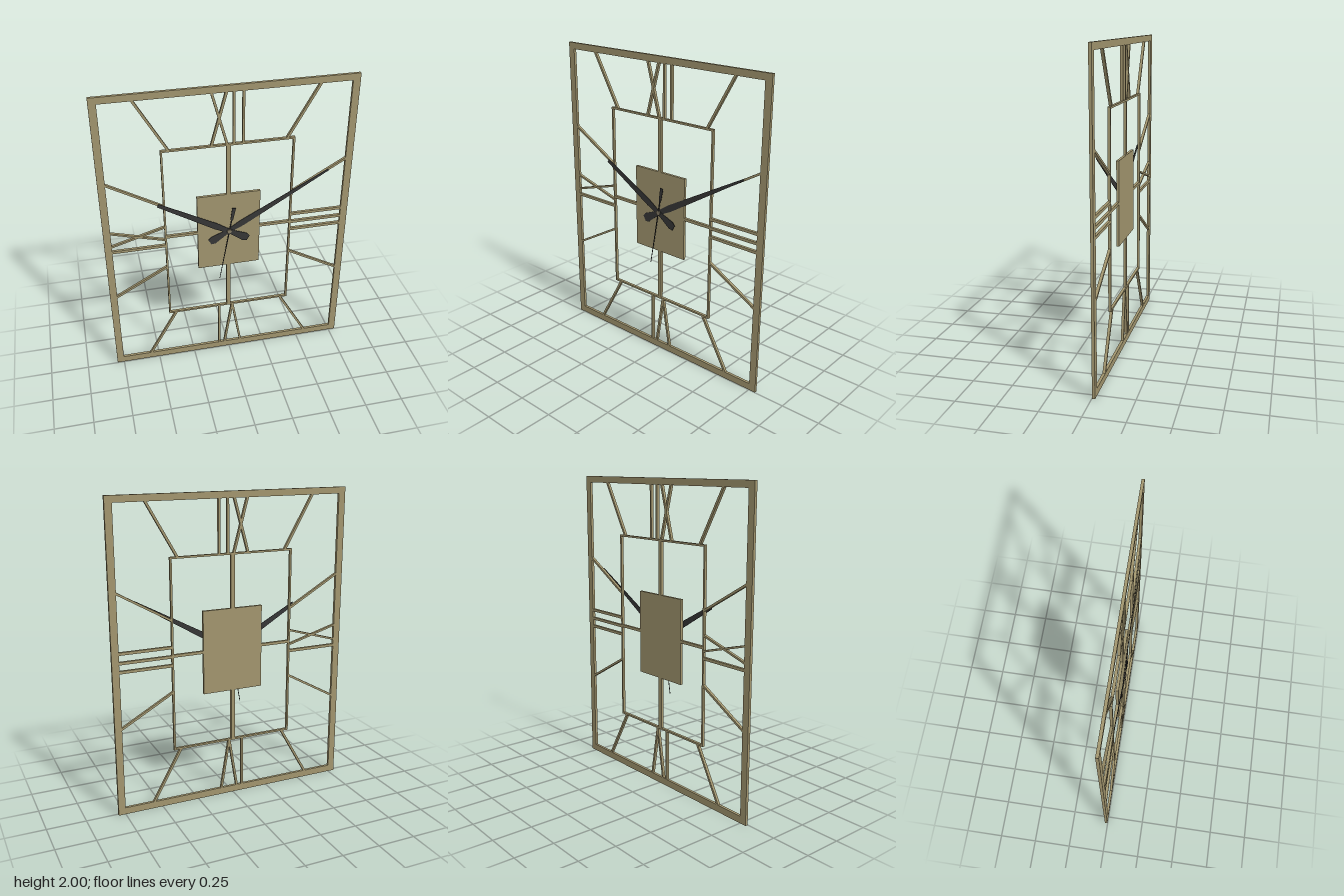
import * as THREE from 'three';

const brass = new THREE.MeshStandardMaterial({ color: 0xa1956e });
brass.name = 'antique brass';
const black = new THREE.MeshStandardMaterial({ color: 0x363636 });
black.name = 'charcoal hands';
const steel = new THREE.MeshStandardMaterial({ color: 0x857c66 });
steel.name = 'pin metal';

const BACK = -0.02, DEPTH = 0.018, CY = 1.003;

export function createModel() {
  const clock = new THREE.Group();
  clock.name = 'wallClock';

  // Flat plate cut from an outline, with its back at z
  const plate = (name, shape, z = BACK, depth = DEPTH, material = brass) => {
    const geometry = new THREE.ExtrudeGeometry(shape, { depth, bevelEnabled: false });
    const mesh = new THREE.Mesh(geometry, material);
    mesh.name = name;
    mesh.position.z = z;
    clock.add(mesh);
    return mesh;
  };
  const outline = (points) => new THREE.Shape(points.map(([x, y]) => new THREE.Vector2(x, y)));
  const rect = (x0, y0, x1, y1) => outline([[x0, y0], [x1, y0], [x1, y1], [x0, y1]]);
  const ring = (name, outer, inner) => {
    const shape = rect(...outer);
    shape.holes.push(rect(...inner));
    plate(name, shape);
  };

  // Strut between two rails, its ends cut flush with horizontal or vertical rails
  const strut = (name, x0, y0, x1, y1, width, vertical) => {
    const length = Math.hypot(x1 - x0, y1 - y0);
    const h = width / 2 * length / Math.abs(vertical ? y1 - y0 : x1 - x0);
    const [dx, dy] = vertical ? [h, 0] : [0, h];
    plate(name, outline([[x0 - dx, y0 - dy], [x1 - dx, y1 - dy], [x1 + dx, y1 + dy], [x0 + dx, y0 + dy]]));
  };

  // Frames, cross bars and centre plate
  ring('outerFrame', [-0.796, 0, 0.796, 2], [-0.75, 0.045, 0.75, 1.958]);
  ring('innerFrame', [-0.413, 0.379, 0.413, 1.626], [-0.401, 0.391, 0.401, 1.614]);
  plate('centrePlate', rect(-0.203, 0.73, 0.203, 1.275));
  for (const [y0, y1] of [[0.385, 0.735], [1.27, 1.62]]) plate('verticalBar', rect(-0.015, y0, 0.012, y1));
  for (const s of [-1, 1]) {
    plate('horizontalBar', rect(Math.min(s * 0.2, s * 0.405), 1.0, Math.max(s * 0.2, s * 0.405), 1.018));
    // Single hour strokes, mirrored left and right
    strut('upperHourStroke', s * 0.555, 1.96, s * 0.362, 1.62, 0.015, true);
    strut('lowerHourStroke', s * 0.555, 0.043, s * 0.362, 0.385, 0.015, true);
    strut('highSideStroke', s * 0.752, 1.435, s * 0.41, 1.237, 0.014, false);
    strut('lowSideStroke', s * 0.752, 0.58, s * 0.41, 0.772, 0.014, false);
  }

  // Twelve
  strut('twelveCross', -0.1, 1.96, -0.008, 1.62, 0.015, true);
  strut('twelveCross', -0.012, 1.96, -0.106, 1.62, 0.015, true);
  for (const x of [0.032, 0.09]) strut('twelveBar', x, 1.96, x, 1.62, 0.014, true);
  // Three
  for (const y of [1.065, 1.005, 0.948]) strut('threeBar', 0.41, y, 0.752, y, 0.018, false);
  // Six
  strut('sixBar', -0.067, 0.043, -0.067, 0.385, 0.014, true);
  for (const x of [-0.03, 0.082]) strut('sixWedge', x, 0.043, 0.025, 0.385, 0.014, true);
  // Nine
  strut('nineCross', -0.752, 1.085, -0.41, 0.988, 0.012, false);
  strut('nineCross', -0.752, 0.985, -0.41, 1.085, 0.012, false);
  strut('nineBar', -0.752, 0.943, -0.41, 0.943, 0.018, false);

  // Hands: outline along +x as [distance, half width], turned about the pin
  const hand = (name, profile, angle, z, depth) => {
    const lower = profile.map(([d, w]) => [d, -w]);
    const upper = profile.map(([d, w]) => [d, w]).reverse();
    const mesh = plate(name, outline([...lower, ...upper]), z, depth, black);
    mesh.position.y = CY;
    mesh.rotation.z = angle;
  };
  const tail = [[-0.145, 0.02], [-0.12, 0.03], [-0.03, 0.017], [0.03, 0.017], [0.1, 0.022]];
  hand('minuteHand', [...tail, [0.55, 0.011], [0.74, 0.006]], Math.atan2(0.372, 0.645), 0.001, 0.003);
  hand('hourHand', [...tail, [0.515, 0.012]], Math.atan2(0.257, -0.448), 0.006, 0.003);
  hand('secondHand', [[-0.175, 0.012], [-0.09, 0.009], [-0.085, 0.004], [0.1, 0.003], [0.374, 0.0015]],
    Math.atan2(-0.368, -0.065), 0.011, 0.003);

  // Centre pin
  const pin = new THREE.Mesh(new THREE.CylinderGeometry(0.015, 0.015, 0.02, 24), steel);
  pin.name = 'centrePin';
  pin.rotation.x = Math.PI / 2;
  pin.position.set(0, CY, 0.006);
  clock.add(pin);

  return clock;
}
